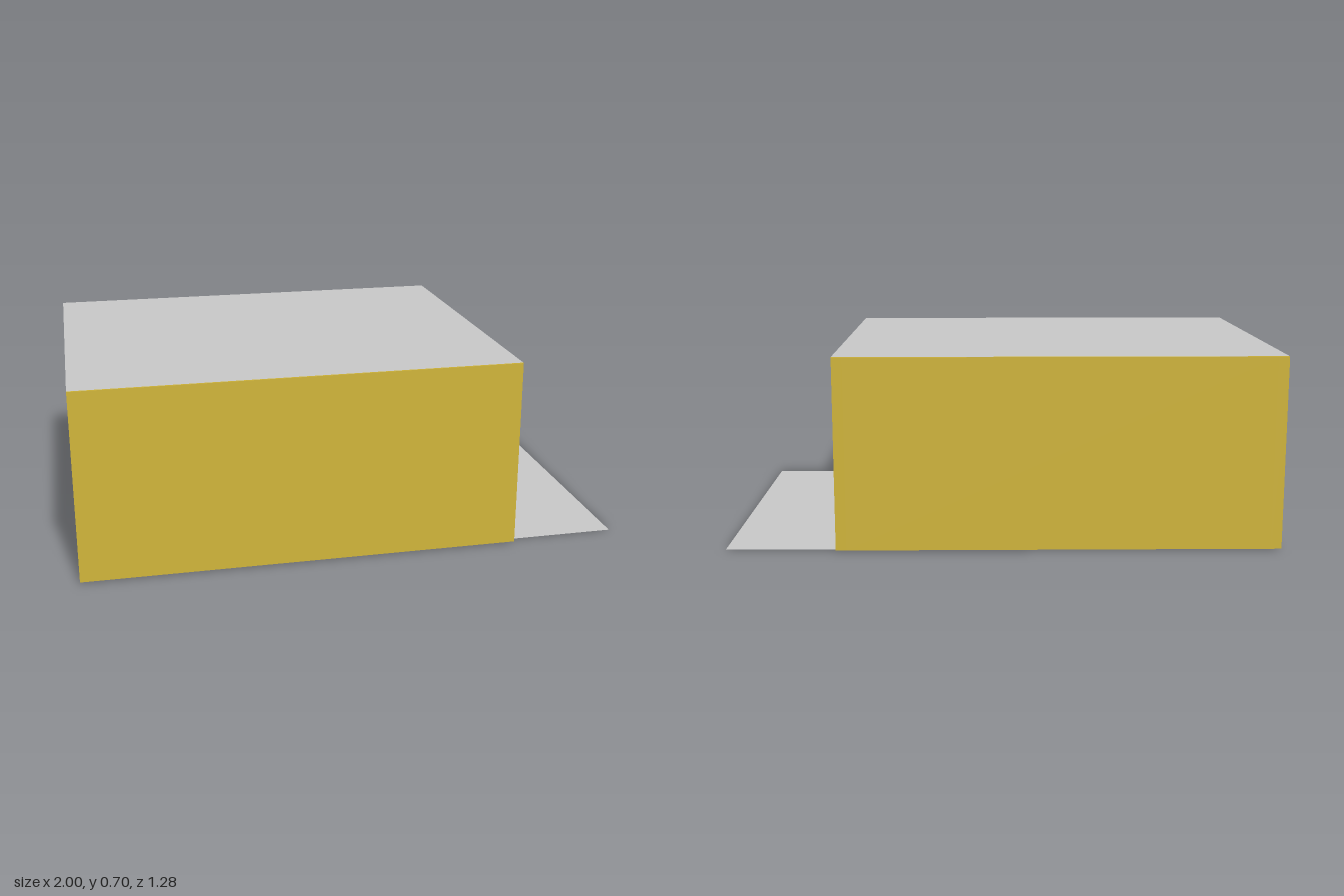
import * as THREE from 'three';

const BACK = -1, FRONT_X = 0.6;          // ends of the building along x
const BASE = 0.006, TOP = 0.702;         // wall bottom and top
const Z_BASE = 0.64, Z_TOP = 0.635;      // walls lean in very slightly
const WALL = 0.038;

const gold = new THREE.MeshStandardMaterial({ color: 0xd2b63a });
const grey = new THREE.MeshStandardMaterial({ color: 0xcccccc });
const greyThin = new THREE.MeshStandardMaterial({ color: 0xcccccc, side: THREE.DoubleSide });

const polygon = (pts, Type = THREE.Shape) => new Type(pts.map(([x, y]) => new THREE.Vector2(x, y)));
const rectangle = (a, b, c, d) => [[a, c], [b, c], [b, d], [a, d]];

// Extrudes a (z, y) outline along x from x0 to x1
function extrudeAlongX(shape, x0, x1) {
  const geometry = new THREE.ExtrudeGeometry(shape, { depth: x1 - x0, bevelEnabled: false });
  geometry.rotateY(-Math.PI / 2);
  geometry.translate(x1, 0, 0);
  return geometry;
}

export function createModel() {
  const group = new THREE.Group();
  const add = (name, geometry, material, x = 0, y = 0, z = 0) => {
    const mesh = new THREE.Mesh(geometry, material);
    mesh.name = name;
    mesh.position.set(x, y, z);
    group.add(mesh);
    return mesh;
  };

  // Long side walls
  for (const s of [1, -1]) {
    const section = polygon([
      [s * Z_BASE, BASE], [s * Z_TOP, TOP], [s * (Z_TOP - WALL), TOP], [s * (Z_BASE - WALL), BASE],
    ]);
    add(s > 0 ? 'frontWall' : 'backWall', extrudeAlongX(section, BACK + WALL, FRONT_X - WALL), gold);
  }

  // End wall with a doorway cut up from the bottom
  const doorway = { half: 0.12, top: 0.58 };
  const doorWall = polygon([
    [-Z_BASE, BASE], [-doorway.half, BASE], [-doorway.half, doorway.top],
    [doorway.half, doorway.top], [doorway.half, BASE], [Z_BASE, BASE], [Z_TOP, TOP], [-Z_TOP, TOP],
  ]);
  add('doorWall', extrudeAlongX(doorWall, FRONT_X - WALL, FRONT_X), gold);

  // End wall with a window hole
  const windowRect = [-0.43, -0.03, 0.32, 0.536];
  const windowWall = polygon([[-Z_BASE, BASE], [Z_BASE, BASE], [Z_TOP, TOP], [-Z_TOP, TOP]]);
  windowWall.holes.push(polygon(rectangle(...windowRect), THREE.Path));
  add('windowWall', extrudeAlongX(windowWall, BACK, BACK + WALL), gold);

  // Lining of the window opening
  const [a, b, c, d] = windowRect, t = 0.005;
  const lining = polygon(rectangle(a, b, c, d));
  lining.holes.push(polygon(rectangle(a + t, b - t, c + t, d - t), THREE.Path));
  add('windowFrame', extrudeAlongX(lining, BACK + 0.001, BACK + 0.046), grey);

  // Door leaf, set back in the doorway
  add('door', new THREE.BoxGeometry(0.016, 0.57, 0.238), grey, 0.57, 0.288, 0);

  // Flat roof sheet
  const roof = new THREE.PlaneGeometry(FRONT_X - BACK, 2 * Z_TOP - 0.008).rotateX(-Math.PI / 2);
  add('roof', roof, greyThin, (FRONT_X + BACK) / 2, TOP + 0.001, 0);

  // Floor slab and the ground sheet that runs out past the door
  add('floor', new THREE.BoxGeometry(1.52, 0.005, 1.21), grey, -0.2, 0.0035, 0);
  const ground = new THREE.PlaneGeometry(1.96, 1.21).rotateX(-Math.PI / 2);
  add('ground', ground, greyThin, 0.02, 0, 0);

  return group;
}
